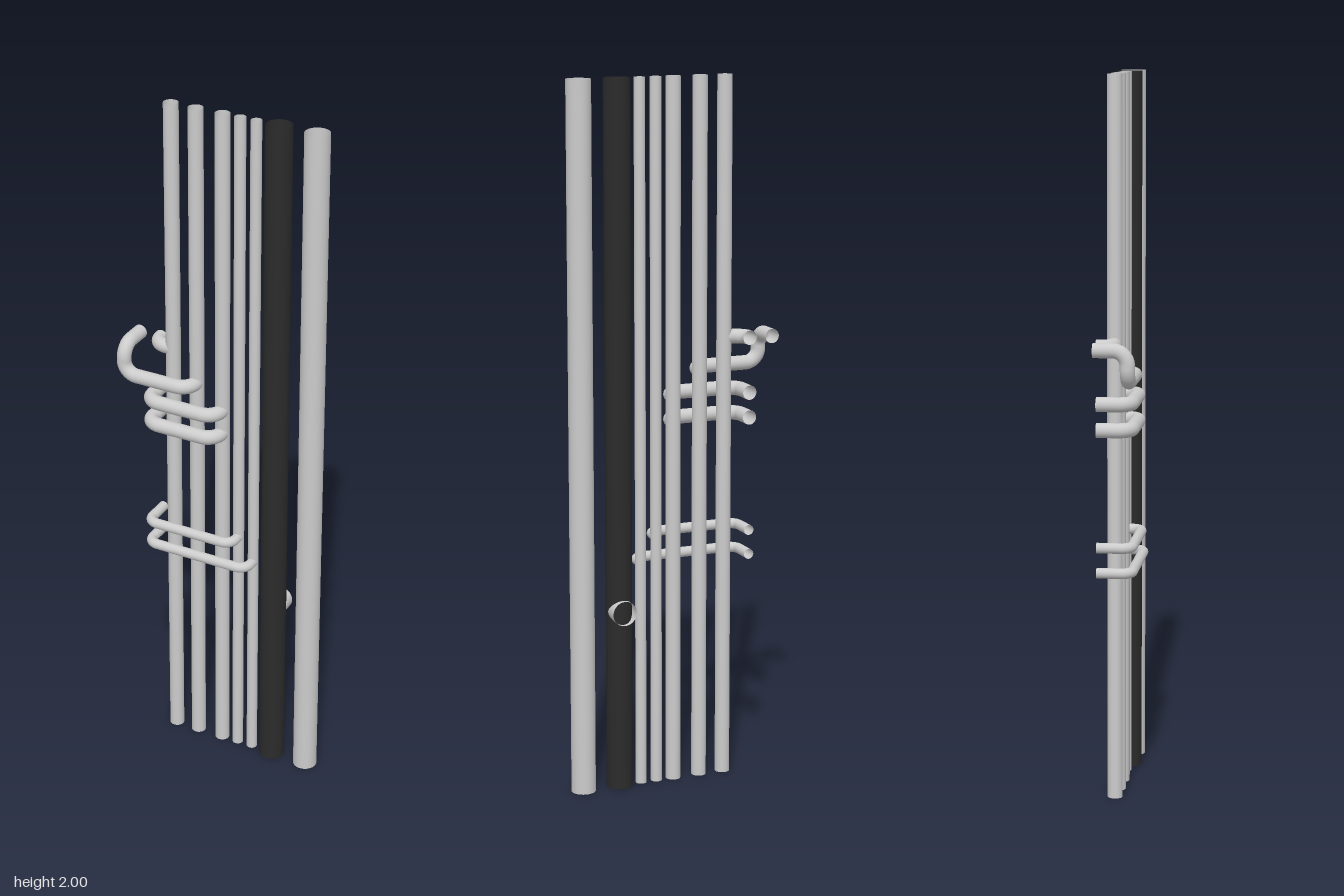
import * as THREE from 'three';

const AXIS_Z = -0.012; // depth of the row of risers
const FRONT_Z = 0.038; // depth of the runs crossing in front
const BACK_Z = -0.055; // depth of the open branch ends

const grey = new THREE.MeshStandardMaterial({ color: 0xcccccc, side: THREE.DoubleSide });
const black = new THREE.MeshStandardMaterial({ color: 0x2b2b2b, side: THREE.DoubleSide });

// Path of straight runs joined by circular elbows
function pipePath(corners, bend) {
  const pts = corners.map((c) => new THREE.Vector3(...c));
  const path = new THREE.CurvePath();
  let from = pts[0];
  for (let i = 1; i < pts.length - 1; i++) {
    const p = pts[i];
    const toward = (q, d) => p.clone().add(q.clone().sub(p).setLength(d));
    const a = toward(pts[i - 1], bend);
    const b = toward(pts[i + 1], bend);
    path.add(new THREE.LineCurve3(from, a));
    path.add(new THREE.CubicBezierCurve3(
      a, toward(pts[i - 1], bend * 0.4477), toward(pts[i + 1], bend * 0.4477), b));
    from = b;
  }
  path.add(new THREE.LineCurve3(from, pts[pts.length - 1]));
  return path;
}

export function createModel() {
  const group = new THREE.Group();
  const add = (name, geometry, material = grey) => {
    const mesh = new THREE.Mesh(geometry, material);
    mesh.name = name;
    group.add(mesh);
    return mesh;
  };

  // Full-height open risers: name, x, radius, material
  const risers = [
    ['riser1', -0.159, 0.021, grey],
    ['riser2', -0.085, 0.021, grey],
    ['riser3', -0.005, 0.021, grey],
    ['riser4', 0.047, 0.016, grey],
    ['riser5', 0.094, 0.0155, grey],
    ['blackDrainPipe', 0.16, 0.037, black],
    ['greyDrainPipe', 0.27, 0.0345, grey],
  ];
  for (const [name, x, r, material] of risers) {
    add(name, new THREE.CylinderGeometry(r, r, 2, 32, 1, true), material)
      .position.set(x, 1, AXIS_Z);
  }

  const addBranch = (name, corners, radius, bend) =>
    add(name, new THREE.TubeGeometry(pipePath(corners, bend), 120, radius, 24));

  // Short side branch turning to the back
  addBranch('sideBranch', [
    [-0.157, 1.273, AXIS_Z], [-0.22, 1.273, AXIS_Z], [-0.22, 1.273, BACK_Z],
  ], 0.0205, 0.038);

  // Branch crossing in front, rising, then turning to the back
  addBranch('hookBranch', [
    [-0.085, 1.185, AXIS_Z], [-0.085, 1.185, FRONT_Z], [-0.288, 1.185, FRONT_Z],
    [-0.288, 1.273, FRONT_Z], [-0.288, 1.273, BACK_Z],
  ], 0.0205, 0.04);

  // U-shaped branches passing in front: name, x, y, z, radius, bend
  const crossings = [
    ['upperCrossing1', -0.005, 1.117, FRONT_Z, 0.0205, 0.04],
    ['upperCrossing2', -0.005, 1.046, FRONT_Z, 0.0205, 0.04],
    ['lowerCrossing1', 0.048, 0.721, 0.04, 0.0145, 0.03],
    ['lowerCrossing2', 0.095, 0.651, 0.04, 0.0145, 0.03],
  ];
  for (const [name, x, y, z, r, bend] of crossings) {
    addBranch(name, [[x, y, AXIS_Z], [x, y, z], [-0.22, y, z], [-0.22, y, BACK_Z]], r, bend);
  }

  // Open outlet at the back of the black pipe
  const outlet = add('drainOutlet', new THREE.CylinderGeometry(0.035, 0.035, 0.056, 32, 1, true));
  outlet.rotation.x = Math.PI / 2;
  outlet.position.set(0.161, 0.52, -0.033);

  return group;
}
